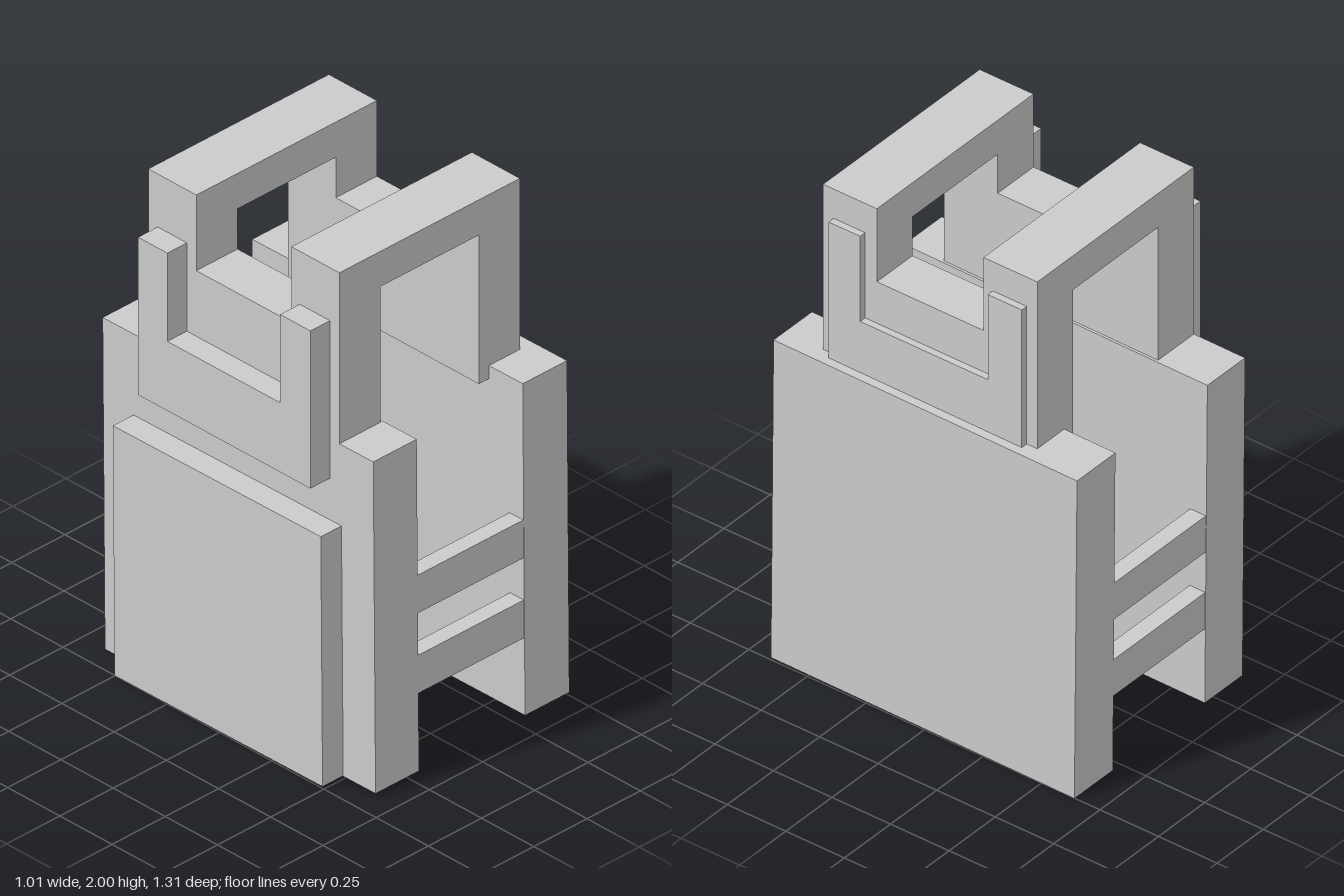
import * as THREE from 'three';

const material = new THREE.MeshStandardMaterial({ color: 0xcccccc, flatShading: true });

// Box given by its minimum and maximum corners
function block(parent, name, [x0, y0, z0], [x1, y1, z1]) {
  const mesh = new THREE.Mesh(new THREE.BoxGeometry(x1 - x0, y1 - y0, z1 - z0), material);
  mesh.position.set((x0 + x1) / 2, (y0 + y1) / 2, (z0 + z1) / 2);
  mesh.name = name;
  parent.add(mesh);
}

// U-shaped plate in the z-y plane, extruded from x0 to x1
function uPlate(parent, name, x0, x1, [zBack, zFront], [yBottom, yTop], [notchBack, notchFront], notchY) {
  const outline = [
    [zBack, yBottom], [zFront, yBottom], [zFront, yTop], [notchFront, yTop],
    [notchFront, notchY], [notchBack, notchY], [notchBack, yTop], [zBack, yTop],
  ].map(([z, y]) => new THREE.Vector2(-z, y));
  const geometry = new THREE.ExtrudeGeometry(new THREE.Shape(outline), { depth: x1 - x0, bevelEnabled: false });
  geometry.rotateY(Math.PI / 2);
  geometry.translate(x0, 0, 0);
  const mesh = new THREE.Mesh(geometry, material);
  mesh.name = name;
  parent.add(mesh);
}

export function createModel() {
  const model = new THREE.Group();
  model.name = 'slabFrame';

  // Lower frame, leaning back very slightly
  const base = new THREE.Group();
  base.name = 'lowerFrame';
  base.position.y = 0.663;
  base.rotation.x = -0.0085;
  model.add(base);
  block(base, 'rightSlab', [-0.408, -0.655, -0.648], [-0.204, 0.655, 0.648]);
  block(base, 'leftSlab', [0.294, -0.655, -0.648], [0.502, 0.655, 0.648]);
  block(base, 'sidePanel', [-0.505, -0.653, -0.503], [-0.408, 0.334, 0.493]);

  // Two rungs at each end
  for (const end of [-1, 1]) {
    for (const y of [-0.275, 0.041]) {
      const z = end * 0.613;
      block(base, 'rung', [-0.204, y - 0.075, z - 0.033], [0.294, y + 0.075, z + 0.033]);
    }
  }

  // Upper frame: notched side walls joined by two top bars
  const upper = new THREE.Group();
  upper.name = 'upperFrame';
  model.add(upper);
  const depth = [-0.435, 0.48], notch = [-0.205, 0.25];
  uPlate(upper, 'rightWall', -0.408, -0.214, depth, [1.27, 2], notch, 1.7);
  uPlate(upper, 'leftWall', 0.247, 0.44, depth, [1.27, 2], notch, 1.7);
  for (const [z0, z1] of [[depth[0], notch[0]], [notch[1], depth[1]]]) {
    block(upper, 'topBar', [-0.214, 1.86, z0], [0.247, 2, z1]);
  }

  // Thin notched plates on the outside of the walls
  uPlate(upper, 'rightPlate', -0.5, -0.408, [-0.39, 0.435], [1.165, 1.79], [-0.25, 0.29], 1.44);
  uPlate(upper, 'leftPlate', 0.44, 0.467, [-0.39, 0.435], [1.25, 1.88], [-0.245, 0.3], 1.53);

  return model;
}
